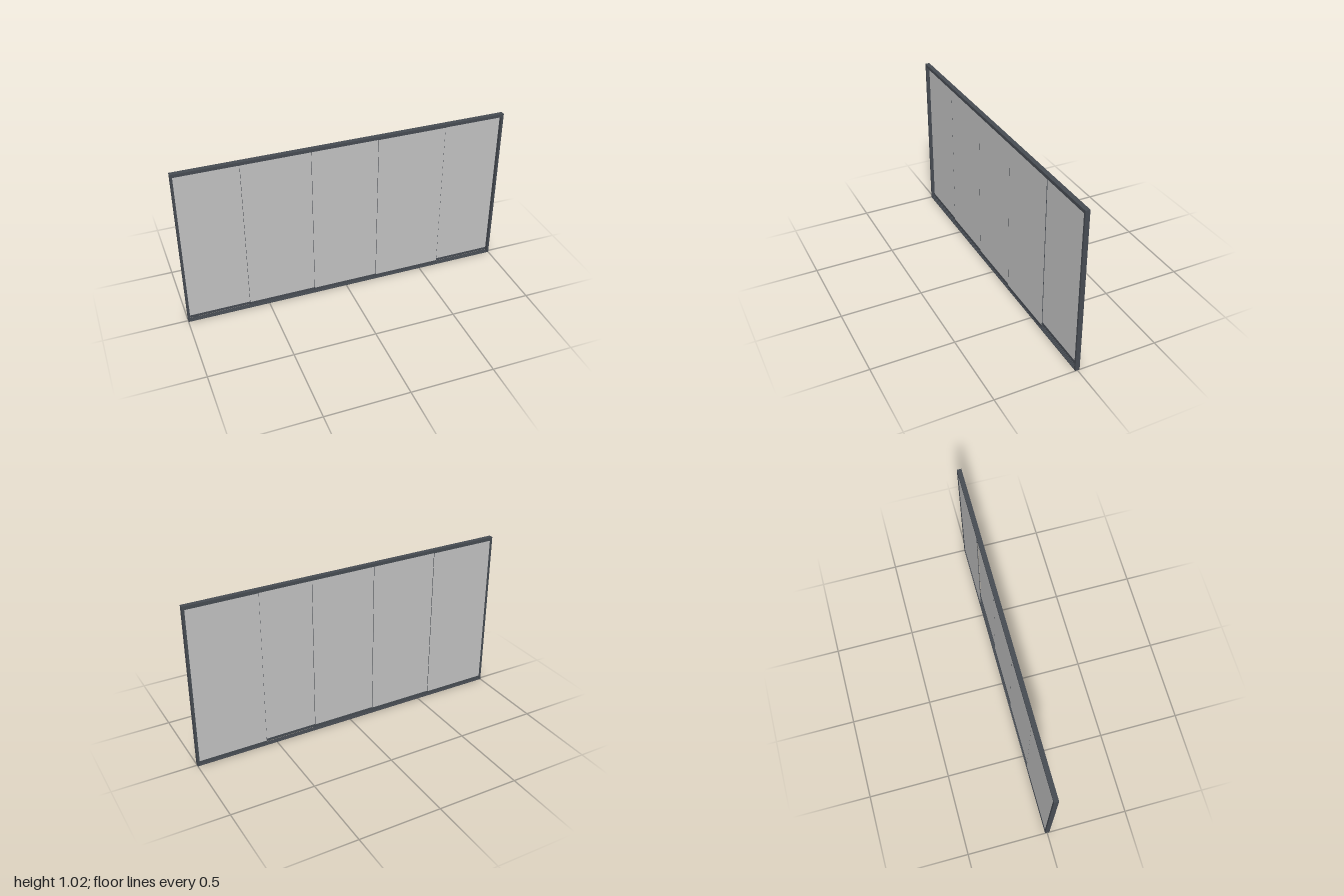
import * as THREE from 'three';

const frameMat = new THREE.MeshStandardMaterial({ color: 0x464b52 });
frameMat.name = 'dark frame';
const glassMat = new THREE.MeshStandardMaterial({ color: 0xc0c0c0 });
glassMat.name = 'grey glass';

// Box given by its limits on each axis
function slab(parent, name, mat, [x0, x1], [y0, y1], [z0, z1]) {
  const geo = new THREE.BoxGeometry(x1 - x0, y1 - y0, z1 - z0);
  const mesh = new THREE.Mesh(geo, mat);
  mesh.position.set((x0 + x1) / 2, (y0 + y1) / 2, (z0 + z1) / 2);
  mesh.name = name;
  parent.add(mesh);
  return mesh;
}

export function createModel() {
  const model = new THREE.Group();
  model.name = 'slidingGlassWall';
  const H = 1.018, D = 0.0135, JAMB = 0.013;
  const inner = [-1 + JAMB, 1 - JAMB];
  const tracks = [-0.0087, -0.0029, 0.0029, 0.0087];

  // Outer frame: sill, header and two jambs
  slab(model, 'sill', frameMat, [-1, 1], [0, 0.006], [-D, D]);
  slab(model, 'header', frameMat, [-1, 1], [1.008, H], [-D, D]);
  for (const s of [-1, 1]) {
    const x = s < 0 ? [-1, inner[0]] : [inner[1], 1];
    slab(model, s < 0 ? 'rightJamb' : 'leftJamb', frameMat, x, [0.006, 1.008], [-D, D]);
  }

  // Header fins between the tracks, and low running ribs on the sill
  for (const z of [-0.0127, -0.0058, 0, 0.0058, 0.0127]) {
    slab(model, 'headerFin', frameMat, inner, [0.998, 1.008], [z - 0.0008, z + 0.0008]);
  }
  for (const z of tracks) {
    slab(model, 'sillRib', frameMat, inner, [0.006, 0.009], [z - 0.0006, z + 0.0006]);
  }

  // Five overlapping panels: x limits and track number
  const panels = [
    [-0.987, -0.574, 0], [-0.617, -0.162, 1], [-0.206, 0.237, 2],
    [0.198, 0.62, 3], [0.565, 0.987, 0],
  ];
  panels.forEach(([x0, x1, t], i) => {
    const panel = new THREE.Group();
    panel.name = 'panel' + (i + 1);
    const z = tracks[t];
    const rail = [z - 0.0024, z + 0.0024];
    slab(panel, 'glass', glassMat, [x0 + 0.001, x1 - 0.001], [0.028, 0.998], [z - 0.0016, z + 0.0016]);
    slab(panel, 'bottomRail', frameMat, [x0, x1], [0.013, 0.03], rail);
    slab(panel, 'topRail', frameMat, [x0, x1], [0.995, 1.006], rail);
    // Dark edge seals along the glass
    for (const [a, b] of [[x0, x0 + 0.001], [x1 - 0.001, x1]]) {
      slab(panel, 'edgeSeal', frameMat, [a, b], [0.03, 0.995], [z - 0.0016, z + 0.0016]);
    }
    // Rollers carry the panel on its rib
    for (const x of [x0 + 0.04, x1 - 0.04]) {
      slab(panel, 'roller', frameMat, [x - 0.008, x + 0.008], [0.009, 0.013], [z - 0.001, z + 0.001]);
    }
    model.add(panel);
  });
  return model;
}
